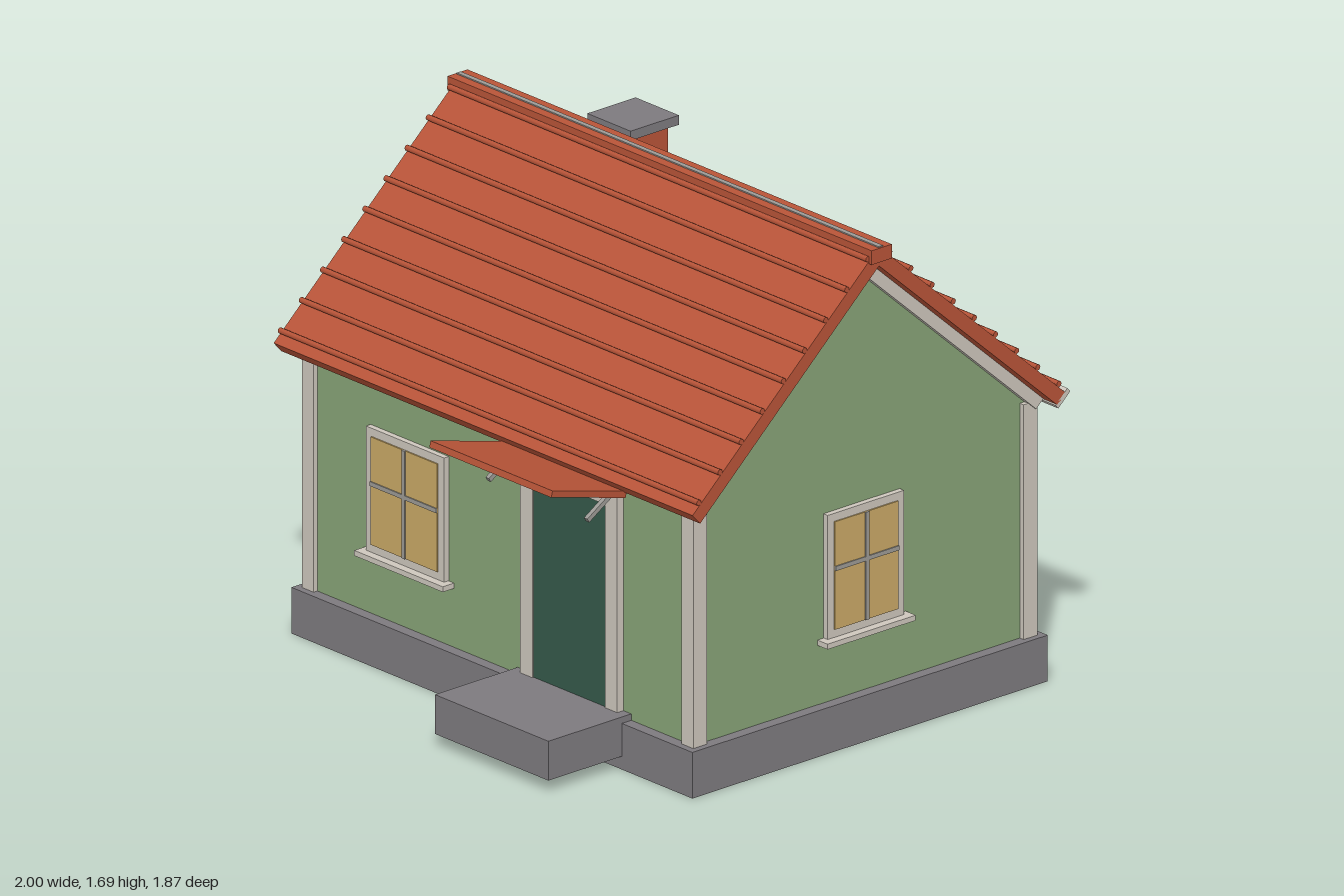
import * as THREE from 'three';

const paint = (name, color) => {
  const m = new THREE.MeshStandardMaterial({ color });
  m.name = name;
  return m;
};
const roofRed = paint('roof red', 0xb85438);
const wallGreen = paint('wall green', 0x87a377);
const trimCream = paint('trim cream', 0xcdc6bc);
const stoneGrey = paint('stone grey', 0x7d7a7e);
const barGrey = paint('bar grey', 0x9c9a95);
const glassYellow = paint('window yellow', 0xc9a866);
const doorGreen = paint('door green', 0x35594a);

const MID = -0.13;    // z of the ridge and middle of the house
const SLOPE = 0.89;   // roof rise over run
const PITCH = Math.atan(SLOPE);

export function createModel() {
  const house = new THREE.Group();
  house.name = 'house';

  const add = (parent, name, geo, mat, x = 0, y = 0, z = 0) => {
    const mesh = new THREE.Mesh(geo, mat);
    mesh.name = name;
    mesh.position.set(x, y, z);
    parent.add(mesh);
    return mesh;
  };
  // Box given by its centre and size
  const box = (parent, name, mat, [x, y, z], [w, h, d]) =>
    add(parent, name, new THREE.BoxGeometry(w, h, d), mat, x, y, z);
  // Side profile of [z from ridge, y] points, extruded along x
  const prism = (name, mat, points, width, x = 0) => {
    const shape = new THREE.Shape(points.map(([z, y]) => new THREE.Vector2(-z, y)));
    const geo = new THREE.ExtrudeGeometry(shape, { depth: width, bevelEnabled: false });
    geo.translate(0, 0, -width / 2).rotateY(Math.PI / 2);
    return add(house, name, geo, mat, x, 0, MID);
  };
  // Symmetric outline: right-hand points plus their mirror image
  const chevron = (top, topEnd, bottom, bottomEnd) => [
    [0, top], [topEnd, top - SLOPE * topEnd], [bottomEnd, bottom - SLOPE * bottomEnd],
    [0, bottom], [-bottomEnd, bottom - SLOPE * bottomEnd], [-topEnd, top - SLOPE * topEnd],
  ];

  // Plinth, walls and step
  box(house, 'plinth', stoneGrey, [0, 0.078, MID], [1.89, 0.156, 1.5]);
  prism('walls', wallGreen, [[0.71, 0.1], [0.71, 0.98], [0, 1.612], [-0.71, 0.98], [-0.71, 0.1]], 1.81);
  box(house, 'doorStep', stoneGrey, [0.345, 0.111, 0.745], [0.535, 0.133, 0.37]);

  // Corner posts and gable boards
  for (const sx of [-1, 1]) {
    for (const sz of [-1, 1])
      box(house, 'cornerPost', trimCream, [sx * 0.895, 0.55, MID + sz * 0.697], [0.056, 0.8, 0.058]);
    prism('gableBoard', trimCream, chevron(1.616, 0.745, 1.562, 0.715), 0.03, sx * 0.915);
  }

  // Roof, ribs and ridge
  prism('roof', roofRed, chevron(1.68, 0.787, 1.616, 0.755), 1.975);
  const rib = new THREE.CylinderGeometry(0.01, 0.01, 1.975, 8).rotateZ(Math.PI / 2);
  for (const side of [-1, 1])
    for (let i = 0; i < 9; i++) {
      const run = 0.76 - i * 0.0892;
      add(house, 'roofRib', rib, roofRed, 0, 1.692 - SLOPE * run, MID + side * run);
    }
  box(house, 'ridgeCap', roofRed, [0, 1.658, MID], [2, 0.048, 0.085]);
  box(house, 'ridgeStrip', barGrey, [0, 1.683, MID], [1.99, 0.006, 0.018]);
  box(house, 'eaveBoard', trimCream, [0, 0.963, -0.906], [1.975, 0.068, 0.018]).rotation.x = -(Math.PI / 2 - PITCH);

  // Chimney
  box(house, 'chimney', roofRed, [-0.392, 1.42, -0.327], [0.155, 0.44, 0.155]);
  box(house, 'chimneyCap', stoneGrey, [-0.392, 1.653, -0.327], [0.204, 0.032, 0.204]);

  // Door with its frame
  box(house, 'door', doorGreen, [0.345, 0.52, 0.585], [0.345, 0.69, 0.03]);
  for (const s of [-1, 1])
    box(house, 'doorJamb', trimCream, [0.3465 + s * 0.2, 0.54, 0.588], [0.057, 0.77, 0.036]);
  box(house, 'doorLintel', trimCream, [0.3465, 0.897, 0.588], [0.457, 0.065, 0.036]);

  // Canopy and its brackets
  box(house, 'canopy', roofRed, [0.345, 0.978, 0.776], [0.575, 0.022, 0.325]).rotation.x = -0.26;
  for (const s of [-1, 1])
    box(house, 'canopyBracket', barGrey, [0.347 + s * 0.232, 0.905, 0.675], [0.016, 0.016, 0.15]).rotation.x = 0.56;

  // Window facing +z in its own frame, then turned to its wall
  const addWindow = (x, y, z, turn, w, h) => {
    const g = new THREE.Group();
    g.name = 'window';
    g.position.set(x, y, z);
    g.rotation.y = turn;
    const gw = w - 0.055, gh = h - 0.055;
    box(g, 'windowFrame', trimCream, [0, 0, 0.005], [w, h, 0.03]);
    box(g, 'windowPane', glassYellow, [0, 0, 0.021], [gw, gh, 0.008]);
    box(g, 'verticalBar', barGrey, [0, 0, 0.025], [0.015, gh, 0.008]);
    box(g, 'crossBar', barGrey, [0, 0.025 * h / 0.42, 0.025], [gw, 0.015, 0.008]);
    box(g, 'windowSill', trimCream, [0, -h / 2 - 0.01, 0.02], [w + 0.05, 0.018, 0.055]);
    house.add(g);
  };
  addWindow(-0.432, 0.584, 0.58, 0, 0.368, 0.42);
  for (const x of [-0.43, 0.43]) addWindow(x, 0.584, -0.84, Math.PI, 0.368, 0.42);
  for (const s of [-1, 1]) addWindow(s * 0.905, 0.586, MID, s * Math.PI / 2, 0.322, 0.42);
  addWindow(-0.905, 1.14, MID, -Math.PI / 2, 0.24, 0.26);

  return house;
}
